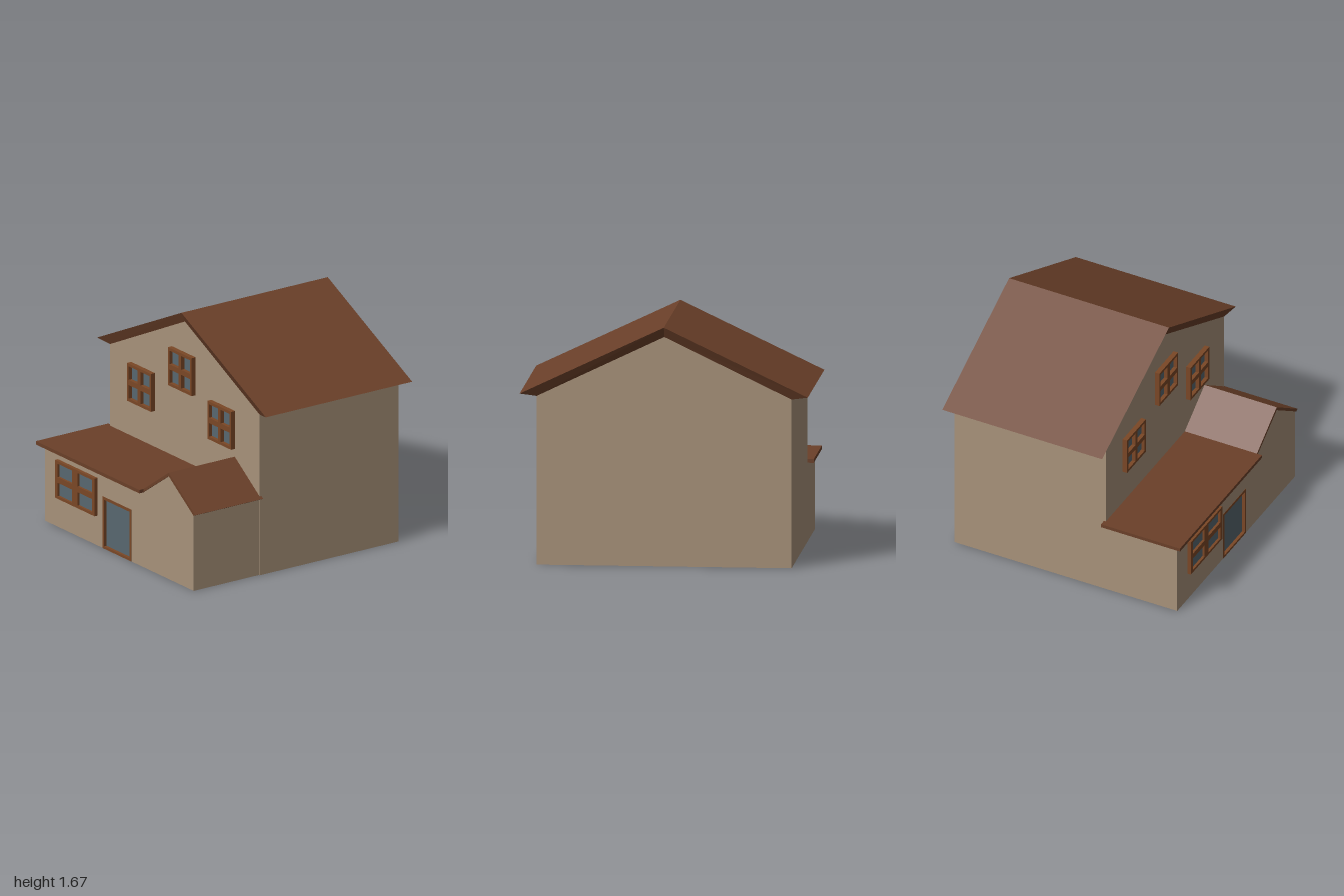
import * as THREE from 'three';

const mat = (color) => new THREE.MeshStandardMaterial({ color, flatShading: true });
const wallMat = mat(0xa8927a), roofMat = mat(0x6b4029), frameMat = mat(0x7a4726), glassMat = mat(0x586870);

function add(parent, name, geometry, material) {
  const mesh = new THREE.Mesh(geometry, material);
  mesh.name = name;
  parent.add(mesh);
  return mesh;
}

const shapeOf = (pts) => new THREE.Shape(pts.map(([x, y]) => new THREE.Vector2(x, y)));

// Outline in x/y pulled from z0 to z1
function slab(shape, z0, z1) {
  return new THREE.ExtrudeGeometry(shape, { depth: z1 - z0, bevelEnabled: false }).translate(0, 0, z0);
}

const rect = (cx, cy, w, h) => [
  [cx - w / 2, cy - h / 2], [cx + w / 2, cy - h / 2], [cx + w / 2, cy + h / 2], [cx - w / 2, cy + h / 2],
];

// Gabled cap whose fascia and eaves slope inward to meet the walls
function roofCap(outer, inner, outerZ, innerZ) {
  const row = (pts, z) => pts.map(([x, y]) => [x, y, z]);
  const rows = [row(inner, innerZ[1]), row(outer, outerZ[1]), row(outer, outerZ[0]), row(inner, innerZ[0])];
  const pos = [];
  const quad = (a, b, c, d) => pos.push(...a, ...b, ...c, ...a, ...c, ...d);
  for (let r = 0; r < 3; r++) {
    for (let i = 0; i < outer.length - 1; i++) {
      quad(rows[r][i], rows[r][i + 1], rows[r + 1][i + 1], rows[r + 1][i]);
    }
  }
  const [a, b, c, d] = rows;
  const n = outer.length - 1;
  quad(a[n], d[n], c[n], b[n]);
  quad(a[0], b[0], c[0], d[0]);
  const geometry = new THREE.BufferGeometry();
  geometry.setAttribute('position', new THREE.Float32BufferAttribute(pos, 3));
  geometry.computeVertexNormals();
  return geometry;
}

// Four-pane window with a solid frame and recessed glass
function makeWindow(name, cx, cy, w, h, paneW, paneH, dx, dy, z, depth) {
  const group = new THREE.Group();
  group.name = name;
  const shape = shapeOf(rect(0, 0, w, h));
  for (const sx of [-1, 1]) {
    for (const sy of [-1, 1]) {
      shape.holes.push(shapeOf(rect(sx * dx, sy * dy, paneW, paneH)));
      const pane = add(group, 'windowPane', new THREE.PlaneGeometry(paneW, paneH), glassMat);
      pane.position.set(sx * dx, sy * dy, 0.008);
    }
  }
  add(group, 'windowFrame', slab(shape, 0, depth), frameMat);
  group.position.set(cx, cy, z);
  return group;
}

export function createModel() {
  const house = new THREE.Group();
  house.name = 'house';

  // Main block and its roof
  const gable = [[-0.885, 1.18], [0, 1.605], [0.885, 1.18]];
  add(house, 'mainWalls', slab(shapeOf([[-0.885, 0], [0.885, 0], ...[...gable].reverse()]), -0.875, 0.305), wallMat);
  add(house, 'mainRoof', roofCap([[-1, 1.2], [0, 1.675], [1, 1.2]], gable, [-0.91, 0.335], [-0.875, 0.305]), roofMat);

  // Front extension: rear volume, then a front wall notched for the door
  const top = [[0.877, 0.56], [0.59, 0.765], [0.295, 0.56], [-0.885, 0.56]];
  add(house, 'extensionWalls', slab(shapeOf([[-0.885, 0], [0.877, 0], ...top]), 0.305, 0.835), wallMat);
  const notch = [[-0.885, 0], [-0.2, 0], [-0.2, 0.38], [0.14, 0.38], [0.14, 0], [0.877, 0]];
  add(house, 'extensionFrontWall', slab(shapeOf([...notch, ...top]), 0.835, 0.86), wallMat);

  // Extension roof: flat slab on one side, small gable on the other
  add(house, 'flatRoof', slab(shapeOf([[-0.93, 0.555], [0.295, 0.555], [0.295, 0.58], [-0.93, 0.58]]), 0.29, 0.905), roofMat);
  const chevron = [[0.29, 0.555], [0.59, 0.76], [0.885, 0.555], [0.905, 0.565], [0.59, 0.785], [0.295, 0.58]];
  add(house, 'smallGableRoof', slab(shapeOf(chevron), 0.29, 0.867), roofMat);

  // Door set into the front wall
  const doorShape = shapeOf(rect(-0.03, 0.19, 0.34, 0.38));
  doorShape.holes.push(shapeOf(rect(-0.03, 0.188, 0.304, 0.342)));
  add(house, 'doorFrame', slab(doorShape, 0.835, 0.862), frameMat);
  const door = add(house, 'doorGlass', new THREE.PlaneGeometry(0.304, 0.342), glassMat);
  door.position.set(-0.03, 0.188, 0.84);

  // Windows
  for (const [name, x, y] of [['upperRightWindow', -0.495, 0.983], ['atticWindow', -0.012, 1.24], ['upperLeftWindow', 0.455, 0.983]]) {
    house.add(makeWindow(name, x, y, 0.28, 0.278, 0.106, 0.1, 0.07, 0.069, 0.305, 0.035));
  }
  house.add(makeWindow('lowerWindow', -0.495, 0.358, 0.47, 0.277, 0.175, 0.099, 0.118, 0.07, 0.86, 0.026));

  return house;
}
